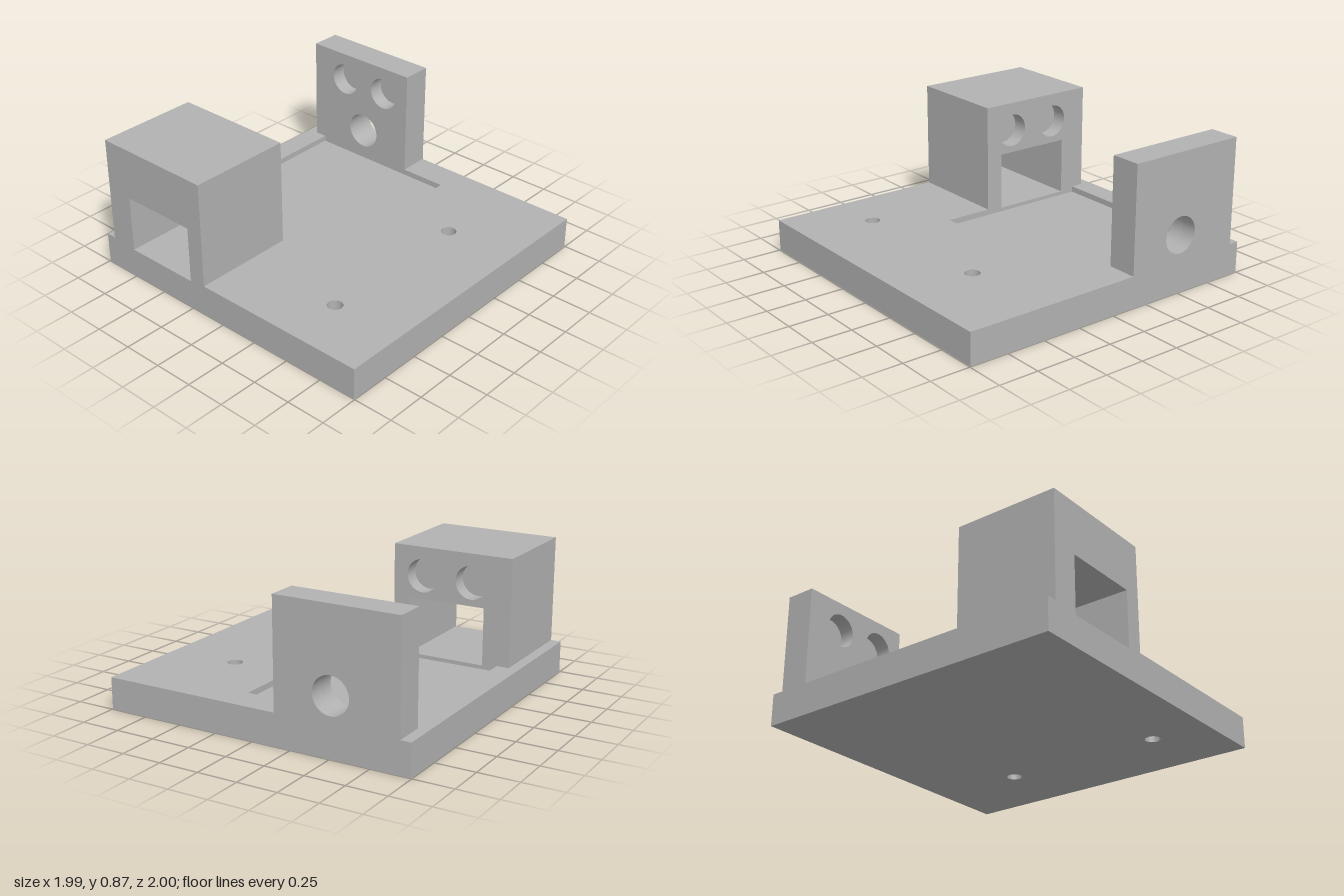
import * as THREE from 'three';
import { toCreasedNormals } from 'three/addons/utils/BufferGeometryUtils.js';

const grey = new THREE.MeshStandardMaterial({ color: 0xb2b2b2 });
grey.name = 'grey';

// Main dimensions
const X = 0.995, Z = 1, TOP = 0.2, BLOCK_TOP = 0.87;
const BLOCK = [-0.93, -0.147];          // block and wall, x range
const WINDOW = [-0.755, -0.257];        // window, x range
const POCKET = [-0.852, 0.155];         // pocket, x range
const WALL_Z = -0.808, BLOCK_Z = 0.347; // inner faces, also the pocket ends
const POCKET_Y = 0.163, WINDOW_Y = 0.187, WINDOW_TOP = 0.545;
const SOCKET_DEPTH = 0.1;

const polygon = (pts) => new THREE.Shape(pts.map(([x, y]) => new THREE.Vector2(x, y)));
const rect = (x0, y0, x1, y1) => polygon([[x0, y0], [x1, y0], [x1, y1], [x0, y1]]);

function addHole(shape, x, y, r) {
  const hole = new THREE.Path();
  hole.absarc(x, y, r, 0, Math.PI * 2, true);
  shape.holes.push(hole);
}

function extrude(shape, depth) {
  const geo = new THREE.ExtrudeGeometry(shape, { depth, bevelEnabled: false, curveSegments: 24 });
  return toCreasedNormals(geo, 0.6);
}

function part(name, geo) {
  const mesh = new THREE.Mesh(geo, grey);
  mesh.name = name;
  return mesh;
}

// Horizontal layer from y0 to y1; the shape is drawn in (x, -z)
function layer(name, shape, y0, y1) {
  for (const z of [-0.4, 0.637]) addHole(shape, 0.535, -z, 0.047);
  return part(name, extrude(shape, y1 - y0).rotateX(-Math.PI / 2).translate(0, y0, 0));
}

// Upright slice from z0 to z1; the shape is drawn in (x, y)
const slice = (name, shape, z0, z1) => part(name, extrude(shape, z1 - z0).translate(0, 0, z0));

// Two blind sockets side by side above the main opening
function addSockets(shape) {
  for (const x of [-0.668, -0.342]) addHole(shape, x, 0.69, 0.104);
  return shape;
}

export function createModel() {
  const model = new THREE.Group();
  model.name = 'mountingBase';

  // Base plate: floor, pocket layer, and top layer with the window channel
  const base = new THREE.Group();
  base.name = 'basePlate';
  const pocketLayer = rect(-X, -Z, X, Z);
  pocketLayer.holes.push(rect(POCKET[0], -BLOCK_Z, POCKET[1], -WALL_Z));
  const channelLayer = polygon([
    [-X, -Z], [WINDOW[0], -Z], [WINDOW[0], -BLOCK_Z], [POCKET[0], -BLOCK_Z],
    [POCKET[0], -WALL_Z], [POCKET[1], -WALL_Z], [POCKET[1], -BLOCK_Z],
    [WINDOW[1], -BLOCK_Z], [WINDOW[1], -Z], [X, -Z], [X, Z], [-X, Z],
  ]);
  base.add(
    layer('plateFloor', rect(-X, -Z, X, Z), 0, POCKET_Y),
    layer('pocketLayer', pocketLayer, POCKET_Y, WINDOW_Y),
    layer('channelLayer', channelLayer, WINDOW_Y, TOP),
  );

  // Front block with a window right through and sockets in its inner face
  const block = new THREE.Group();
  block.name = 'frontBlock';
  const arch = () => polygon([
    [BLOCK[0], TOP], [WINDOW[0], TOP], [WINDOW[0], WINDOW_TOP], [WINDOW[1], WINDOW_TOP],
    [WINDOW[1], TOP], [BLOCK[1], TOP], [BLOCK[1], BLOCK_TOP], [BLOCK[0], BLOCK_TOP],
  ]);
  const split = BLOCK_Z + SOCKET_DEPTH;
  block.add(
    slice('blockBody', arch(), split, Z),
    slice('blockSocketFace', addSockets(arch()), BLOCK_Z, split),
  );

  // Back wall with a round through hole and sockets in its inner face
  const wall = new THREE.Group();
  wall.name = 'backWall';
  const panel = () => {
    const shape = rect(BLOCK[0], TOP, BLOCK[1], BLOCK_TOP);
    addHole(shape, -0.508, 0.363, 0.115);
    return shape;
  };
  const wallSplit = WALL_Z - SOCKET_DEPTH;
  wall.add(
    slice('wallBody', panel(), -Z, wallSplit),
    slice('wallSocketFace', addSockets(panel()), wallSplit, WALL_Z),
  );

  model.add(base, block, wall);
  return model;
}
